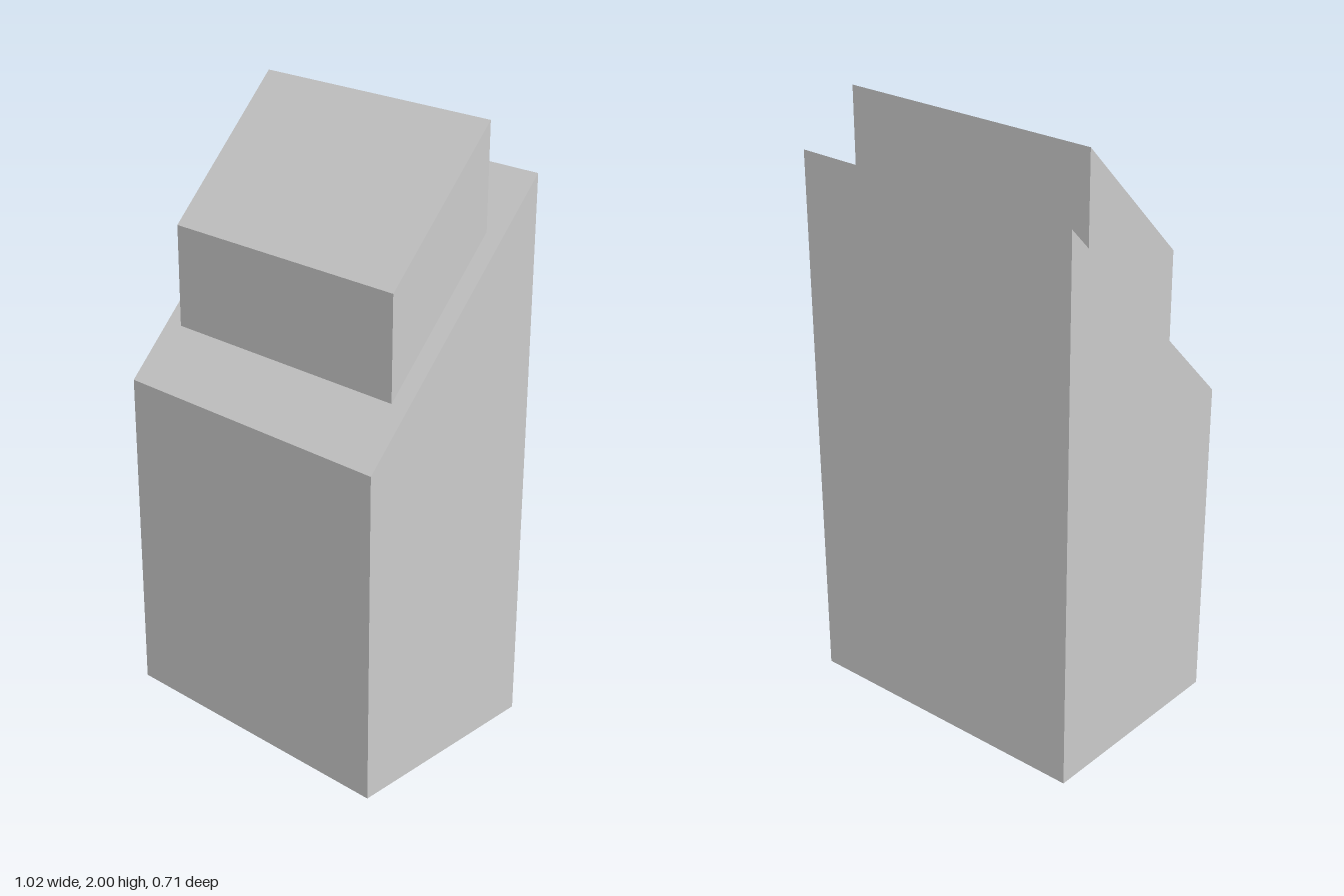
import * as THREE from 'three';

const material = new THREE.MeshStandardMaterial({ color: 0xcccccc, flatShading: true });

// Extrudes a side profile of [z, y] points across x, centred on x = 0
function sideProfile(name, points, width) {
  const shape = new THREE.Shape(points.map(([z, y]) => new THREE.Vector2(-z, y)));
  const geometry = new THREE.ExtrudeGeometry(shape, { depth: width, bevelEnabled: false });
  geometry.translate(0, 0, -width / 2);
  geometry.rotateY(Math.PI / 2); // shape x becomes -z, depth becomes x
  const mesh = new THREE.Mesh(geometry, material);
  mesh.name = name;
  return mesh;
}

export function createModel() {
  const group = new THREE.Group();
  group.name = 'slopedBlock';

  // Tall body with a slanted top rising toward the back
  group.add(sideProfile('body', [
    [0.354, 0], [-0.354, 0], [-0.354, 1.825], [0.354, 1.092],
  ], 1.02));

  // Smaller slanted block, seated just below the body's slope
  group.add(sideProfile('upperBlock', [
    [0.202, 1.24], [-0.202, 1.658], [-0.202, 2], [0.202, 1.583],
  ], 0.897));

  return group;
}
